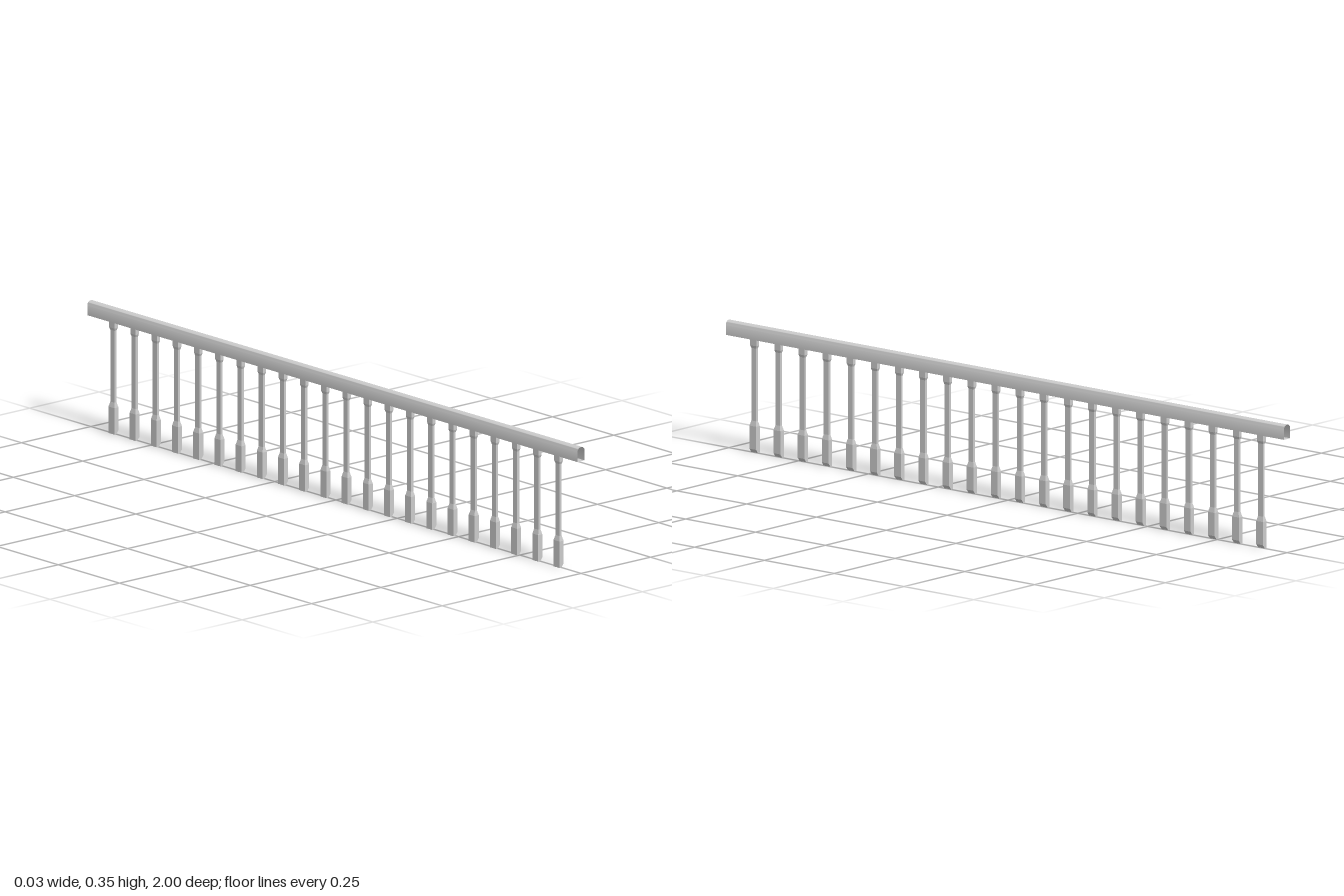
import * as THREE from 'three';
import { toCreasedNormals } from 'three/addons/utils/BufferGeometryUtils.js';

const railMaterial = new THREE.MeshStandardMaterial({ color: 0xcccccc, side: THREE.DoubleSide });
const balusterMaterial = new THREE.MeshStandardMaterial({ color: 0xcccccc, flatShading: true });

// Handrail: flat underside, straight sides, rounded top, open at both ends
function railGeometry() {
  const w = 0.013, bottom = 0.314, shoulder = 0.341;
  const shape = new THREE.Shape();
  shape.moveTo(-w, bottom);
  shape.lineTo(w, bottom);
  shape.lineTo(w, shoulder);
  shape.absellipse(0, shoulder, w, 0.013, 0, Math.PI, false);
  shape.closePath();
  const solid = new THREE.ExtrudeGeometry(shape, { depth: 2, bevelEnabled: false, curveSegments: 10 });
  // Keep only the side walls (the second group), leaving the ends open
  const { start, count } = solid.groups[1];
  const walls = new THREE.BufferGeometry();
  const positions = solid.attributes.position.array.slice(start * 3, (start + count) * 3);
  walls.setAttribute('position', new THREE.BufferAttribute(positions, 3));
  walls.translate(0, 0, -1);
  return toCreasedNormals(walls, 0.7);
}

// Baluster: stacked rectangular sections as [height, half width x, half width z]
function balusterGeometry() {
  const sections = [
    [0, 0.0075, 0.012],
    [0.074, 0.0075, 0.012],
    [0.088, 0.0038, 0.0085],
    [0.289, 0.0038, 0.0085],
    [0.296, 0.0058, 0.011],
    [0.315, 0.0058, 0.011],
  ];
  const last = sections.length - 1;
  const geometry = new THREE.BoxGeometry(2, last, 2, 2, last, 1);
  const p = geometry.attributes.position;
  for (let i = 0; i < p.count; i++) {
    const row = Math.round(p.getY(i) + last / 2);
    const [y, hx, hz] = sections[row];
    // The foot is cut at a slant on its +x half
    const lift = row === 0 && p.getX(i) > 0.5 ? 0.01 : 0;
    p.setXYZ(i, p.getX(i) * hx, y + lift, p.getZ(i) * hz);
  }
  geometry.computeVertexNormals();
  return geometry;
}

export function createModel() {
  const model = new THREE.Group();
  model.name = 'railing';

  const rail = new THREE.Mesh(railGeometry(), railMaterial);
  rail.name = 'handrail';
  model.add(rail);

  // Evenly spaced row of balusters
  const balusters = new THREE.Group();
  balusters.name = 'balusters';
  const geometry = balusterGeometry();
  const count = 22, reach = 0.908;
  for (let i = 0; i < count; i++) {
    const baluster = new THREE.Mesh(geometry, balusterMaterial);
    baluster.name = `baluster${i + 1}`;
    baluster.position.z = reach - (2 * reach * i) / (count - 1);
    balusters.add(baluster);
  }
  model.add(balusters);
  return model;
}
